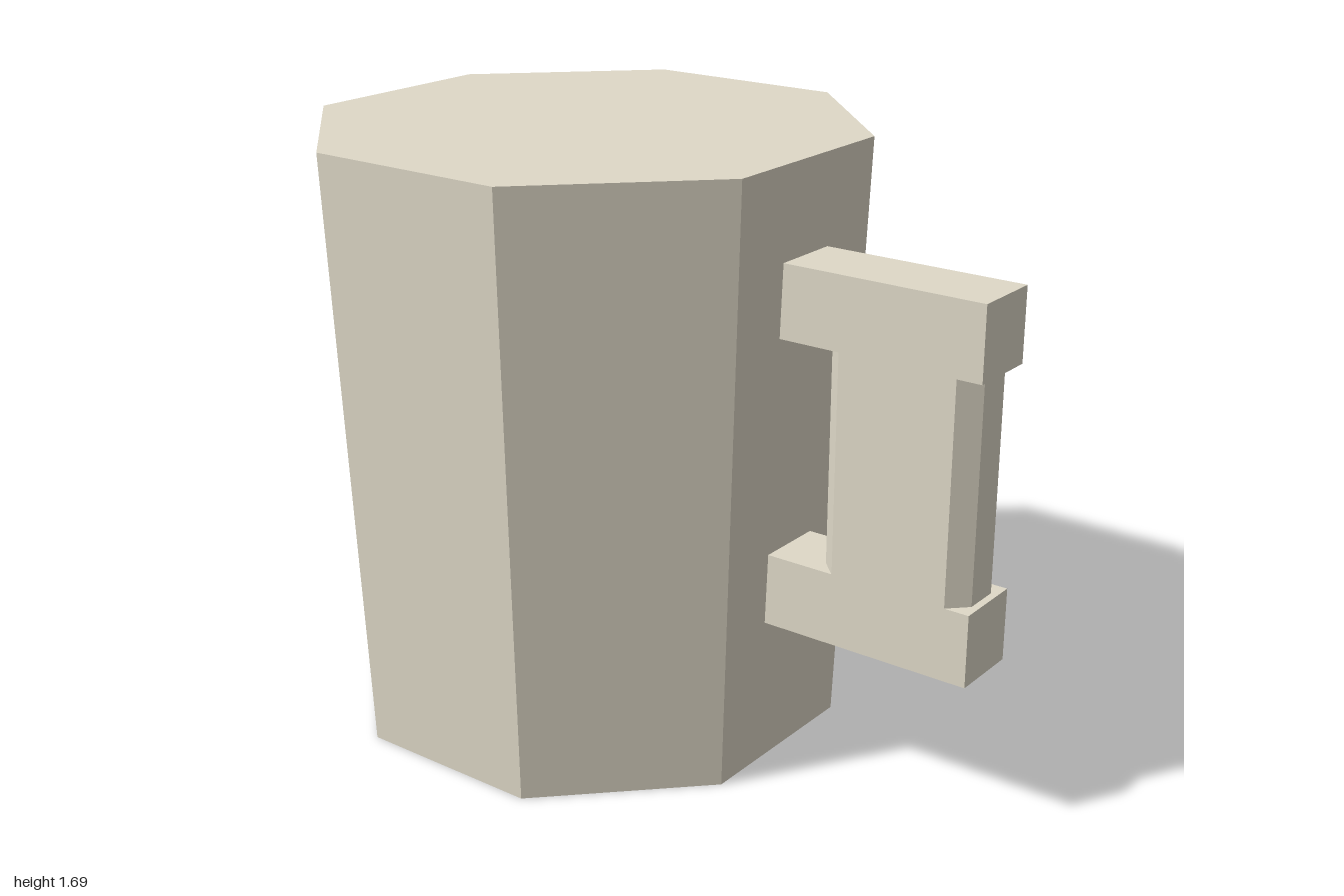
import * as THREE from 'three';

export function createModel() {
  const group = new THREE.Group();
  const clay = new THREE.MeshStandardMaterial({ color: 0xdfd9c8, flatShading: true });
  clay.name = 'pale clay';

  const add = (name, geometry, x, y, z) => {
    const mesh = new THREE.Mesh(geometry, clay);
    mesh.name = name;
    mesh.position.set(x, y, z);
    group.add(mesh);
  };

  // Tapered eight-sided body, flat sides facing the axes
  const height = 1.69;
  const toCorner = 1 / Math.cos(Math.PI / 8);
  add('mugBody', new THREE.CylinderGeometry(0.717 * toCorner, 0.655 * toCorner, height, 8, 1, false, Math.PI / 8),
    -0.283, height / 2, 0);

  // Handle arms, rooted inside the body wall
  const inner = 0.34, outer = 1;
  for (const [name, low, high] of [['lowerHandleArm', 0.425, 0.627], ['upperHandleArm', 1.235, 1.436]]) {
    add(name, new THREE.BoxGeometry(outer - inner, high - low, 0.2), (inner + outer) / 2, (low + high) / 2, 0);
  }

  // Upright grip with chamfered corners
  const w = 0.2175, d = 0.1, c = 0.05;
  const outline = [
    [-w, -d + c], [-w + c, -d], [w - c, -d], [w, -d + c],
    [w, d - c], [w - c, d], [-w + c, d], [-w, d - c],
  ].map(([x, z]) => new THREE.Vector2(x, z));
  const grip = new THREE.ExtrudeGeometry(new THREE.Shape(outline), { depth: 0.608, bevelEnabled: false });
  grip.rotateX(-Math.PI / 2);
  add('handleGrip', grip, 0.7625, 0.627, 0);

  return group;
}
